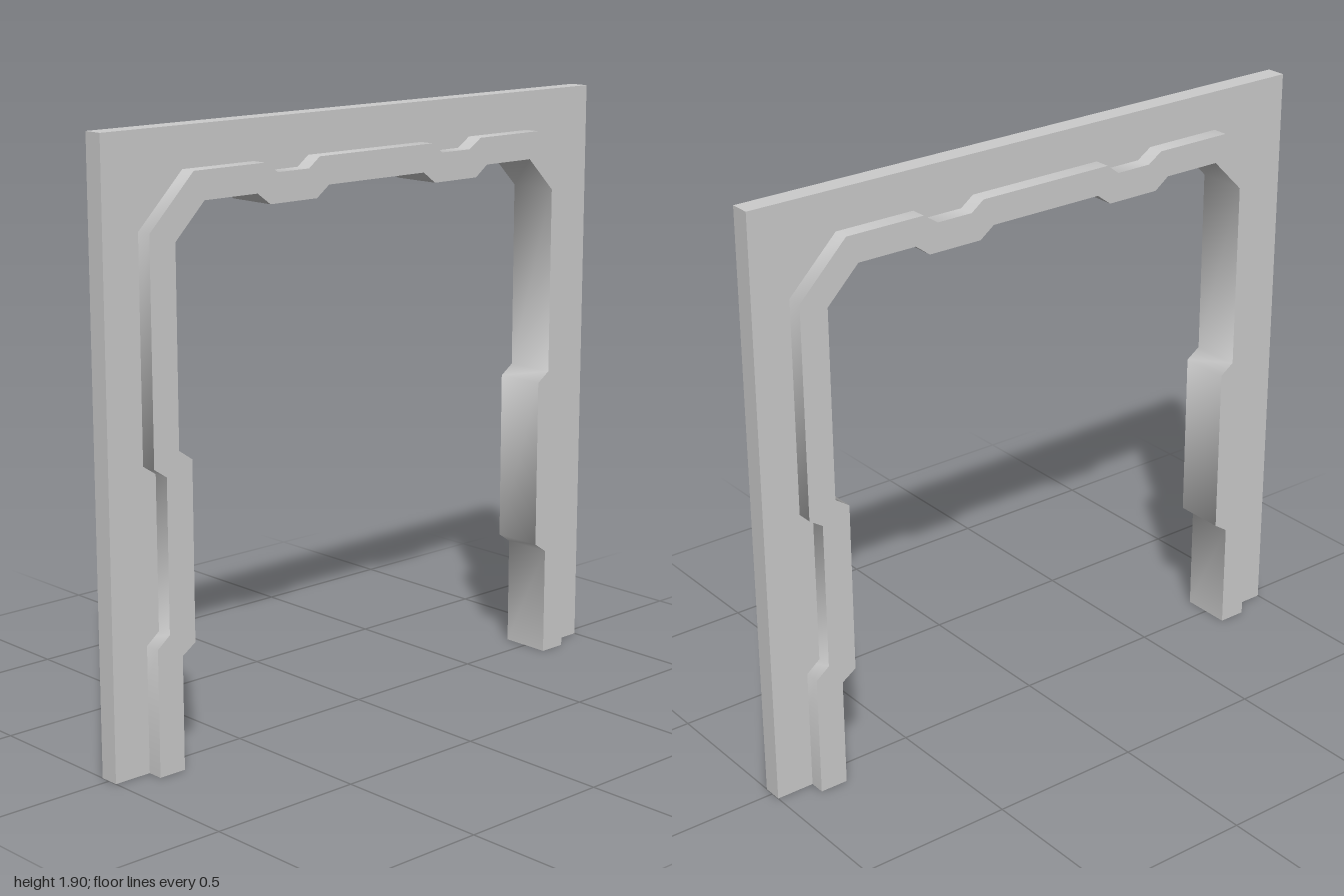
import * as THREE from 'three';
import { toCreasedNormals } from 'three/addons/utils/BufferGeometryUtils.js';

// Half profiles as [z, y], from the floor up to the middle of the lintel
const TRIM_OUTER = [
  [0.875, 0], [0.875, 0.395], [0.83, 0.43], [0.83, 0.905], [0.875, 0.935], [0.875, 1.613],
  [0.713, 1.775], [0.447, 1.775], [0.398, 1.743], [0.277, 1.743], [0.234, 1.775],
];
const TRIM_INNER = [
  [0.783, 0], [0.783, 0.355], [0.735, 0.387], [0.735, 0.942], [0.783, 0.975], [0.783, 1.58],
  [0.675, 1.688], [0.477, 1.688], [0.428, 1.652], [0.246, 1.652], [0.197, 1.688],
];
const WALL_OUTER = [[1, 0], [1, 1.9]];

// Full arch line from +z foot to -z foot
const mirror = (half) => [...half, ...half.map(([z, y]) => [-z, y]).reverse()];

// Solid arch between two lines, extruded across x
function arch(outer, inner, thickness) {
  const points = [...mirror(outer), ...mirror(inner).reverse()];
  const shape = new THREE.Shape(points.map(([z, y]) => new THREE.Vector2(z, y)));
  const geo = new THREE.ExtrudeGeometry(shape, { depth: thickness, bevelEnabled: false });
  geo.translate(0, 0, -thickness / 2);
  geo.rotateY(-Math.PI / 2);
  return geo;
}

// Drop the triangles lying on the floor, leaving the feet open
function openFeet(geo) {
  const pos = geo.getAttribute('position');
  const kept = [];
  for (let i = 0; i < pos.count; i += 3) {
    if ([0, 1, 2].every((k) => pos.getY(i + k) < 1e-4)) continue;
    for (let k = 0; k < 3; k++) kept.push(pos.getX(i + k), pos.getY(i + k), pos.getZ(i + k));
  }
  const open = new THREE.BufferGeometry();
  open.setAttribute('position', new THREE.Float32BufferAttribute(kept, 3));
  return open;
}

export function createModel() {
  const group = new THREE.Group();
  group.name = 'doorFrame';
  const material = new THREE.MeshStandardMaterial({ color: 0xcccccc });
  const add = (name, geo) => {
    // Soft bends along the arch, sharp right-angled edges
    const mesh = new THREE.Mesh(toCreasedNormals(geo, 1.2), material);
    mesh.name = name;
    group.add(mesh);
  };

  // Thin wall panel around the opening
  add('wallPanel', openFeet(arch(WALL_OUTER, TRIM_OUTER, 0.064)));
  // Thicker stepped trim lining the opening
  add('doorTrim', arch(TRIM_OUTER, TRIM_INNER, 0.166));

  return group;
}
